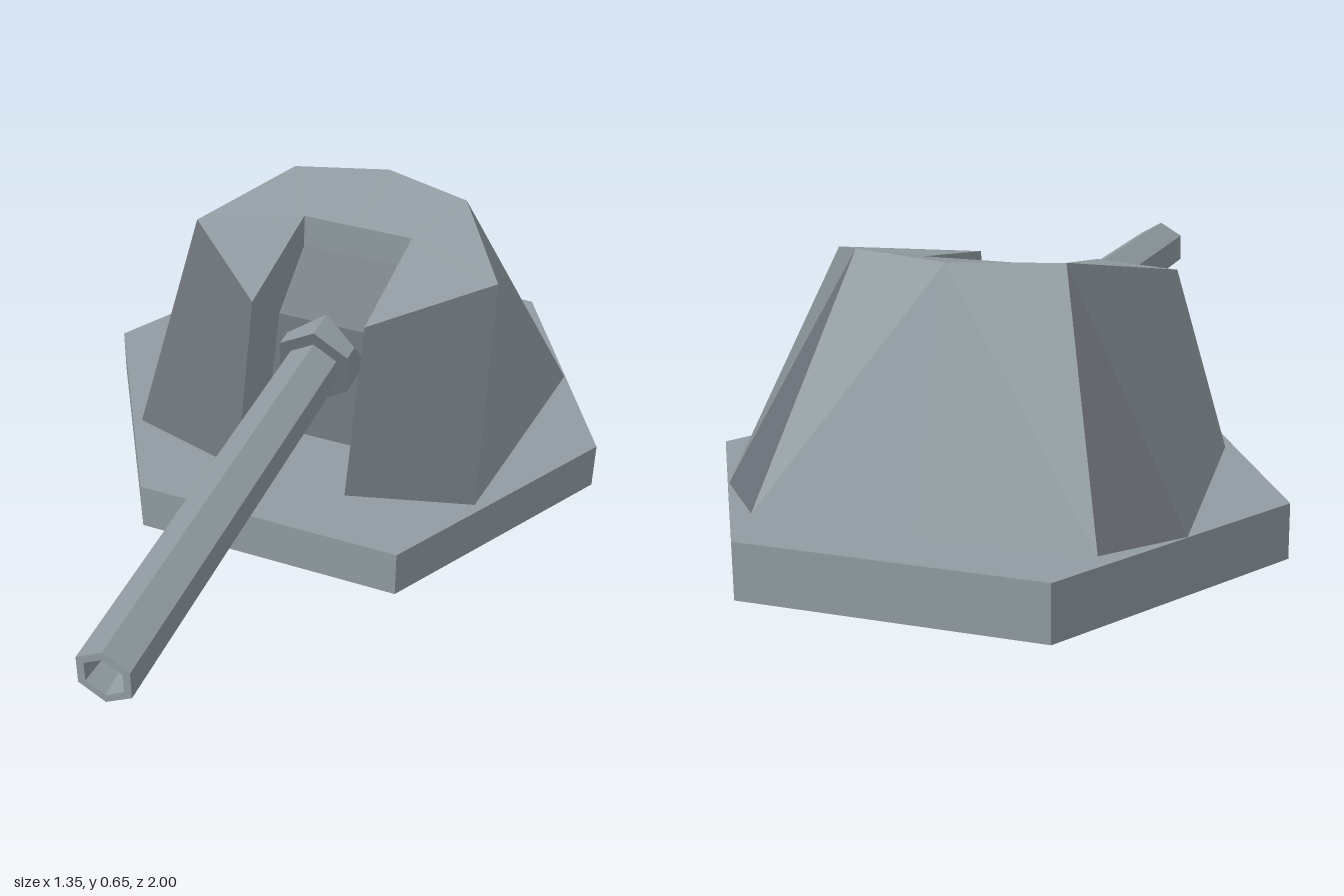
import * as THREE from 'three';

const paint = (color, flatShading) =>
  new THREE.MeshStandardMaterial({ color, flatShading, side: THREE.DoubleSide });
const steel = paint(0x919ca2, true);
const plate = paint(0x919ca2, false);
const darkPlate = paint(0x6a7077, false);

function addPart(group, name, geometry, material) {
  const mesh = new THREE.Mesh(geometry, material);
  mesh.name = name;
  group.add(mesh);
  return mesh;
}

// Fans polygons of the left half into triangles and mirrors them across x = 0.
// Each polygon is shaded as one plate, with its average normal.
function mirroredPlates(faces) {
  const positions = [], normals = [];
  for (const face of faces) {
    const [first, ...rest] = face.map((p) => new THREE.Vector3(...p));
    const triangles = rest.slice(1).map((c, i) => [first, rest[i], c]);
    const n = new THREE.Vector3();
    for (const [a, b, c] of triangles) n.add(b.clone().sub(a).cross(c.clone().sub(a)));
    n.normalize();
    for (const [a, b, c] of triangles) {
      for (const p of [a, b, c]) {
        positions.push(p.x, p.y, p.z);
        normals.push(n.x, n.y, n.z);
      }
      for (const p of [a, c, b]) {
        positions.push(-p.x, p.y, p.z);
        normals.push(-n.x, n.y, n.z);
      }
    }
  }
  const geometry = new THREE.BufferGeometry();
  geometry.setAttribute('position', new THREE.Float32BufferAttribute(positions, 3));
  geometry.setAttribute('normal', new THREE.Float32BufferAttribute(normals, 3));
  return geometry;
}

function createHousing() {
  const slot = 0.145, floor = 0.125;
  // Upper rim
  const shoulder = [0.4, 0.6, -0.34];
  const crown = [0.235, 0.655, -0.6];
  const crownBack = [0, 0.655, -0.675];
  const slotFront = [slot, 0.56, -0.1];
  const slotBack = [slot, 0.613, -0.44];
  // Foot outline
  const footInner = [slot, floor, 0.012];
  const footFront = [0.455, floor, -0.075];
  const footSide = [0.52, floor, -0.68];
  const footBack = [0.38, floor, -0.84];
  // Stepped back of the gun slot
  const ledgeBack = [slot, 0.525, -0.44];
  const ledgeFront = [slot, 0.42, -0.27];
  const wallFoot = [slot, floor, -0.18];
  const mid = ([, y, z]) => [0, y, z];

  const housing = new THREE.Group();
  housing.name = 'housing';

  addPart(housing, 'roof', mirroredPlates([
    [slotFront, shoulder, slotBack],
    [shoulder, crown, slotBack],
    [slotBack, crown, crownBack, mid(slotBack)],
  ]), plate);

  addPart(housing, 'sideAndBackPlates', mirroredPlates([
    [footSide, crown, shoulder, footFront],
    [footBack, crownBack, crown],
    [footBack, mid(footBack), crownBack],
  ]), plate);

  addPart(housing, 'slotSides', mirroredPlates([
    [slotFront, slotBack, ledgeBack, ledgeFront, wallFoot, footInner],
    [mid(ledgeBack), ledgeBack, slotBack, mid(slotBack)],
  ]), plate);

  addPart(housing, 'frontAndCornerPlates', mirroredPlates([
    [footInner, footFront, shoulder, slotFront],
    [footSide, footBack, crown],
  ]), darkPlate);

  addPart(housing, 'slotLedge', mirroredPlates([
    [mid(ledgeFront), ledgeFront, ledgeBack, mid(ledgeBack)],
    [mid(wallFoot), wallFoot, ledgeFront, mid(ledgeFront)],
  ]), darkPlate);

  return housing;
}

// Hexagonal collar whose rear end slopes back into the slot wall
function collarGeometry() {
  const geometry = new THREE.CylinderGeometry(0.103, 0.103, 0.1, 6).rotateX(Math.PI / 2);
  const p = geometry.attributes.position;
  const rearDepth = (y) => (y > 0.09 ? -0.23 : y > 0.04 ? -0.19 : y > -0.01 ? -0.22 : -0.28);
  for (let i = 0; i < p.count; i++) p.setZ(i, p.getZ(i) > 0 ? -0.14 : rearDepth(p.getY(i)));
  return geometry;
}

// Hexagonal barrel with a narrowing bore
function barrelGeometry() {
  const profile = [[0, -0.17], [0.07, -0.17], [0.07, 1], [0.05, 1], [0.017, 0.7], [0, 0.7]];
  return new THREE.LatheGeometry(profile.map(([r, z]) => new THREE.Vector2(r, z)), 6).rotateX(Math.PI / 2);
}

export function createModel() {
  const model = new THREE.Group();
  model.name = 'gunTurret';

  // Hexagonal foundation
  const base = new THREE.CylinderGeometry(0.676, 0.676, 0.126, 6).rotateY(Math.PI / 6);
  addPart(model, 'base', base, steel).position.set(0, 0.063, -0.414);

  model.add(createHousing());

  // Gun, with a dark face on the collar
  const gun = new THREE.Group();
  gun.name = 'gun';
  gun.position.y = 0.376;
  addPart(gun, 'collar', collarGeometry(), [steel, darkPlate, darkPlate]);
  addPart(gun, 'barrel', barrelGeometry(), steel);
  model.add(gun);

  return model;
}
